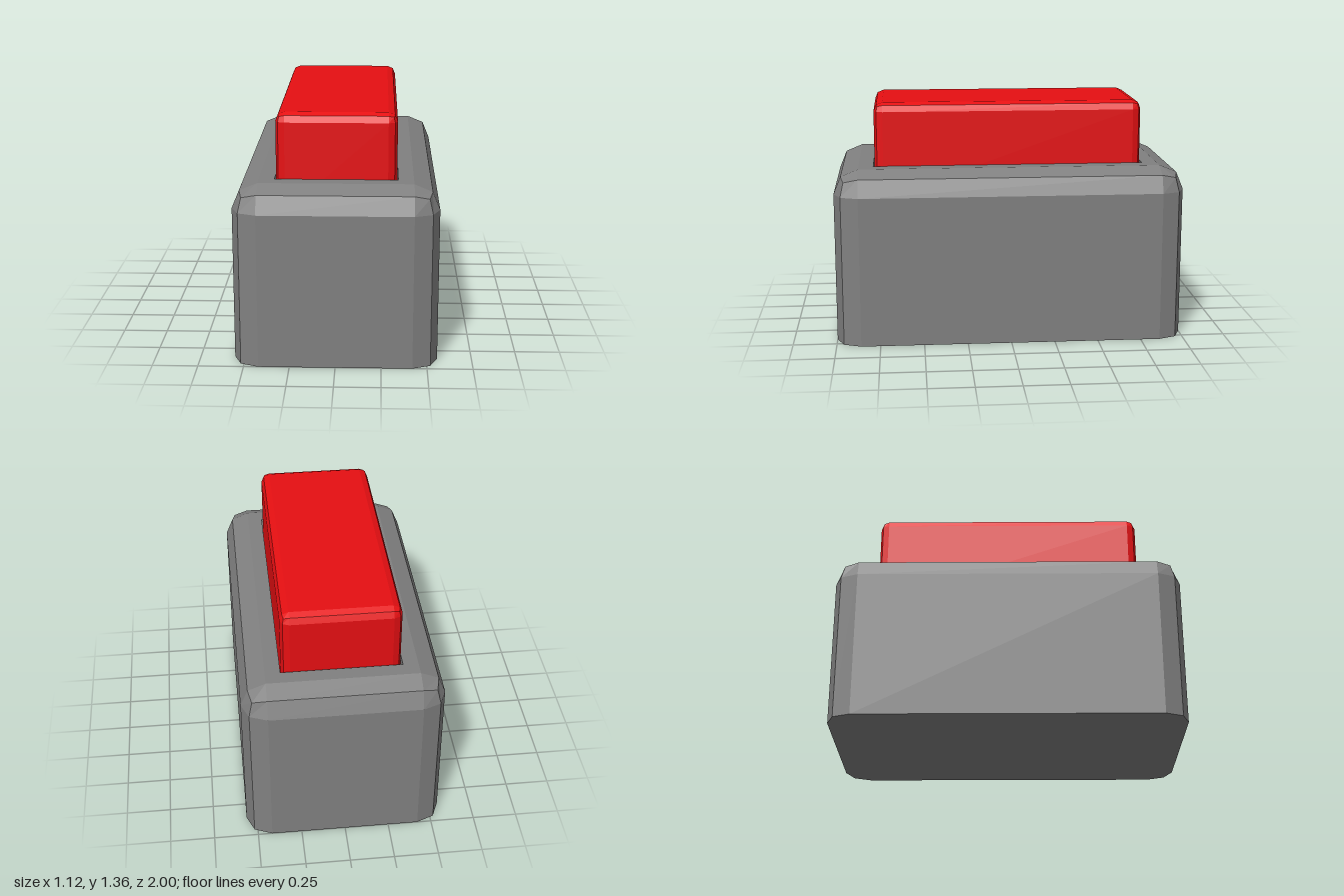
import * as THREE from 'three';
import { RoundedBoxGeometry } from 'three/addons/geometries/RoundedBoxGeometry.js';

// Box with bevelled sides and top, and a flat sharp-edged base at y = bottom
function bevelledBlock(halfX, halfZ, bottom, top, radius) {
  const height = top - bottom + radius;
  const geometry = new RoundedBoxGeometry(halfX * 2, height, halfZ * 2, 1, radius);
  geometry.translate(0, top - height / 2, 0);
  const p = geometry.attributes.position;
  for (let i = 0; i < p.count; i++) p.setY(i, Math.max(p.getY(i), bottom));
  return geometry;
}

// Drop the flat top panel so a face with an opening can take its place
function withoutTop(geometry, top) {
  const p = geometry.attributes.position;
  const kept = [];
  for (let i = 0; i < p.count; i += 3) {
    if ([0, 1, 2].every((k) => p.getY(i + k) > top - 1e-4)) continue;
    for (let k = 0; k < 3; k++) kept.push(p.getX(i + k), p.getY(i + k), p.getZ(i + k));
  }
  const open = new THREE.BufferGeometry();
  open.setAttribute('position', new THREE.Float32BufferAttribute(kept, 3));
  open.computeVertexNormals();
  return open;
}

function rectangle(path, halfX, halfZ) {
  path.moveTo(-halfX, -halfZ).lineTo(halfX, -halfZ).lineTo(halfX, halfZ).lineTo(-halfX, halfZ);
  path.closePath();
  return path;
}

export function createModel() {
  const group = new THREE.Group();
  const grey = new THREE.MeshStandardMaterial({ color: 0x808080, flatShading: true });
  const red = new THREE.MeshStandardMaterial({ color: 0xe60f12, flatShading: true });
  const inside = grey.clone();
  inside.side = THREE.BackSide;

  const add = (name, geometry, material) => {
    const mesh = new THREE.Mesh(geometry, material);
    mesh.name = name;
    group.add(mesh);
    return mesh;
  };

  // Housing shell
  const radius = 0.14, halfX = 0.56, halfZ = 1;
  add('housing', withoutTop(bevelledBlock(halfX, halfZ, 0, 1, radius), 1), grey);

  // Top panel with the rectangular opening for the button
  const slotX = 0.335, slotZ = 0.775, slotDepth = 0.2;
  const panel = rectangle(new THREE.Shape(), halfX - radius, halfZ - radius);
  panel.holes.push(rectangle(new THREE.Path(), slotX, slotZ));
  add('topPanel', new THREE.ShapeGeometry(panel).rotateX(-Math.PI / 2).translate(0, 1, 0), grey);

  // Recess under the opening: a box seen from inside, without its lid
  const recess = withoutTop(
    new THREE.BoxGeometry(slotX * 2, slotDepth, slotZ * 2).toNonIndexed().translate(0, 1 - slotDepth / 2, 0), 1);
  add('recess', recess, inside);

  // Raised button, standing on the recess floor
  add('button', bevelledBlock(0.33, 0.768, 1 - slotDepth + 0.01, 1.36, 0.05), red);

  return group;
}
